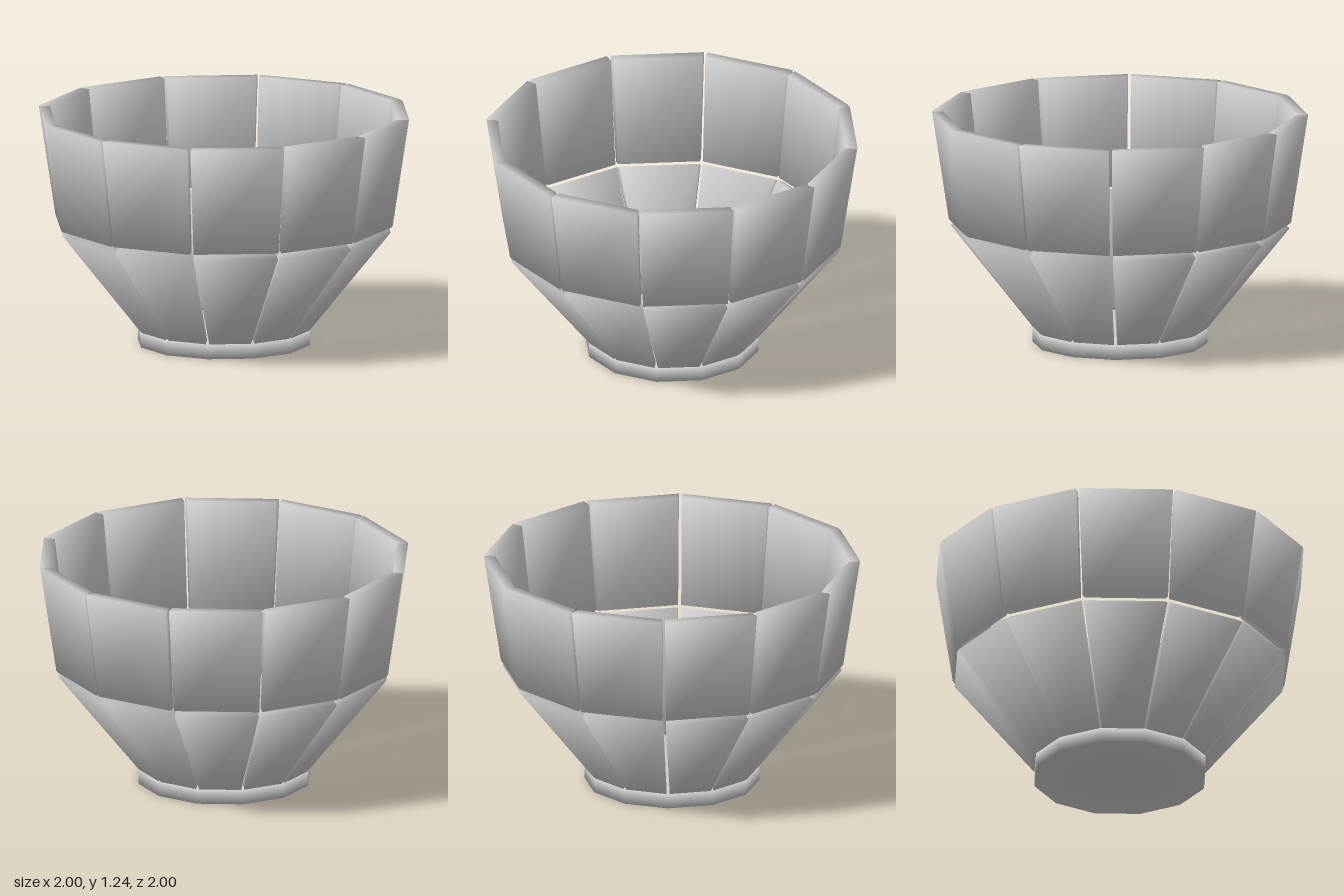
import * as THREE from 'three';
import { mergeVertices } from 'three/addons/utils/BufferGeometryUtils.js';

const SIDES = 12;
const HALF = Math.PI / SIDES;
const GAP = 0.009; // half the slit between neighbouring panels

// One flat panel. Profile of [corner radius, height]:
// outer bottom, outer top, inner top, inner bottom.
function panelGeometry(profile) {
  const points = [];
  for (const side of [1, -1]) {
    for (const [r, y] of profile) {
      const w = r * Math.sin(HALF) - GAP / Math.cos(HALF);
      points.push(new THREE.Vector3(side * w, y, r * Math.cos(HALF)));
    }
  }
  const quads = [[0, 3, 2, 1], [4, 5, 6, 7]];
  for (let i = 0; i < 4; i++) {
    const j = (i + 1) % 4;
    quads.push([4 + i, i, j, 4 + j]);
  }

  // soft corners: every face counts equally in the corner normal
  const normals = points.map(() => new THREE.Vector3());
  const index = [];
  for (const [a, b, c, d] of quads) {
    index.push(a, b, c, a, c, d);
    const ac = points[c].clone().sub(points[a]);
    const bd = points[d].clone().sub(points[b]);
    const n = ac.cross(bd).normalize();
    for (const k of [a, b, c, d]) normals[k].add(n);
  }
  normals.forEach((n) => n.normalize());

  const geometry = new THREE.BufferGeometry().setFromPoints(points);
  geometry.setAttribute('normal', new THREE.Float32BufferAttribute(normals.flatMap((n) => n.toArray()), 3));
  geometry.setIndex(index);
  return geometry;
}

// A full ring of panels around the axis
function panelRing(name, profile, material) {
  const ring = new THREE.Group();
  ring.name = name + 's';
  const geometry = panelGeometry(profile);
  for (let i = 0; i < SIDES; i++) {
    const panel = new THREE.Mesh(geometry, material);
    panel.name = name;
    panel.rotation.y = HALF * (2 * i + 1);
    ring.add(panel);
  }
  return ring;
}

export function createModel() {
  const model = new THREE.Group();
  model.name = 'panelBowl';
  const material = new THREE.MeshStandardMaterial({ color: 0xcccccc });

  // twelve-sided base disc with soft normals
  let disc = new THREE.CylinderGeometry(0.465, 0.465, 0.08, SIDES);
  disc.deleteAttribute('normal');
  disc.deleteAttribute('uv');
  disc = mergeVertices(disc);
  disc.computeVertexNormals();
  const base = new THREE.Mesh(disc, material);
  base.name = 'base';
  base.position.y = 0.04;
  model.add(base);

  // sloping lower panels, then the steeper upper panels
  model.add(panelRing('lowerPanel', [[0.465, 0.08], [0.9, 0.624], [0.853, 0.652], [0.432, 0.1]], material));
  model.add(panelRing('upperPanel', [[1, 1.24], [0.94, 1.24], [0.868, 0.66], [0.91, 0.656]].map((_, i, p) => p[(i + 3) % 4]), material));

  return model;
}
